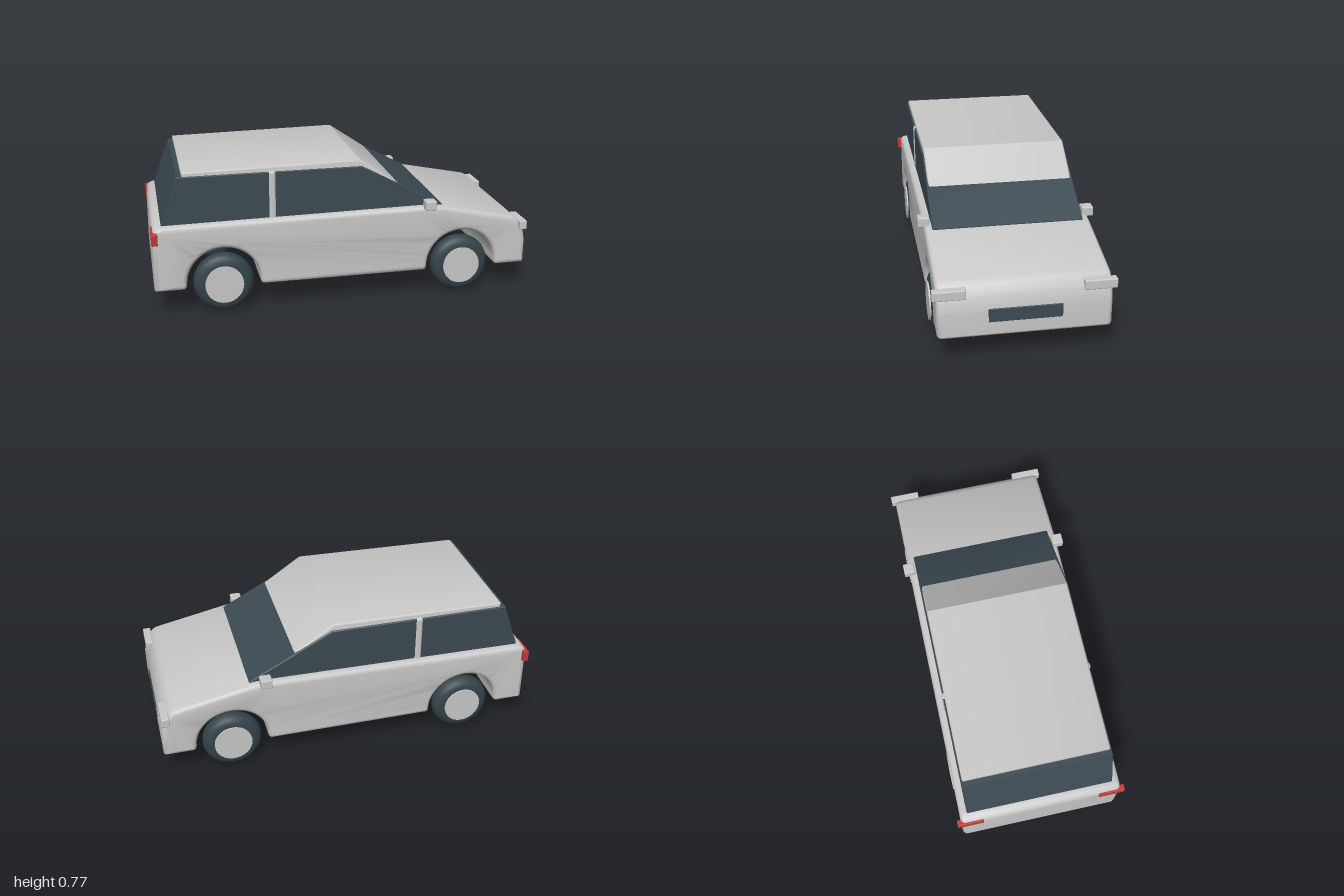
import * as THREE from 'three';
import { toCreasedNormals } from 'three/addons/utils/BufferGeometryUtils.js';
import { RoundedBoxGeometry } from 'three/addons/geometries/RoundedBoxGeometry.js';

const paint = (name, color) => {
  const m = new THREE.MeshStandardMaterial({ color });
  m.name = name;
  return m;
};

// Bevelled slab running across the car; the outline is its widest section
function slab(shape, halfWidth, bevel, segments) {
  const geo = new THREE.ExtrudeGeometry(shape, {
    depth: 2 * (halfWidth - bevel), steps: 1, curveSegments: 24,
    bevelEnabled: true, bevelThickness: bevel, bevelSize: bevel,
    bevelOffset: -bevel, bevelSegments: segments,
  });
  geo.translate(0, 0, -(halfWidth - bevel));
  return toCreasedNormals(geo, 0.6);
}

const polygon = (points) => new THREE.Shape(points.map(([x, y]) => new THREE.Vector2(x, y)));

export function createModel() {
  const car = new THREE.Group();
  car.name = 'car';
  const silver = paint('silver', 0xc8c8c8);
  const glass = paint('dark glass', 0x3d4a52);
  const rubber = paint('tyre rubber', 0x34434a);
  const red = paint('tail light red', 0xc03a38);

  const add = (name, geo, mat, x = 0, y = 0, z = 0, parent = car) => {
    const mesh = new THREE.Mesh(geo, mat);
    mesh.name = name;
    mesh.position.set(x, y, z);
    parent.add(mesh);
    return mesh;
  };

  // Lower body with wheel arches cut right across
  const wheelX = [-0.643, 0.636];
  const body = new THREE.Shape();
  body.moveTo(-0.985, 0.14);
  for (const x of wheelX) {
    body.lineTo(x - 0.21, 0.14);
    body.quadraticCurveTo(x - 0.193, 0.14, x - 0.19, 0.165);
    body.absarc(x, 0.165, 0.19, Math.PI, 0, true);
    body.quadraticCurveTo(x + 0.193, 0.14, x + 0.21, 0.14);
  }
  body.lineTo(0.985, 0.14);
  body.quadraticCurveTo(1, 0.14, 1, 0.155);
  body.lineTo(1, 0.27);
  body.quadraticCurveTo(0.985, 0.39, 0.92, 0.415);
  body.lineTo(0.53, 0.495);
  body.quadraticCurveTo(0.48, 0.505, 0.42, 0.503);
  body.lineTo(-0.94, 0.487);
  body.quadraticCurveTo(-0.995, 0.485, -0.998, 0.44);
  body.lineTo(-1, 0.155);
  body.quadraticCurveTo(-1, 0.14, -0.985, 0.14);
  add('body', slab(body, 0.427, 0.026, 5), silver);

  // Glasshouse, with the roof shell standing just proud of its top
  add('windows', slab(polygon([[-0.955, 0.47], [0.53, 0.47], [0.53, 0.5], [0.09, 0.735], [-0.86, 0.735]]),
    0.388, 0.004, 1), glass);
  add('roof', slab(polygon([[-0.83, 0.6], [0.31, 0.6], [0.31, 0.614], [0.08, 0.77], [-0.835, 0.755]]),
    0.38, 0.008, 3), silver);

  const box = (w, h, d, r = 0.006) => new RoundedBoxGeometry(w, h, d, 3, r);
  add('numberPlate', box(0.008, 0.07, 0.36, 0.003), glass, 0.999, 0.25, 0);

  // Fittings repeated on both sides
  for (const s of [1, -1]) {
    add('doorPillar', box(0.04, 0.27, 0.03, 0.014), silver, -0.38, 0.605, s * 0.378);
    add('mirror', box(0.06, 0.05, 0.06), silver, 0.45, 0.515, s * 0.426);
    add('headlight', box(0.042, 0.05, 0.162), silver, 0.975, 0.366, s * 0.366);
    add('tailLight', box(0.032, 0.06, 0.138, 0.004), red, -0.986, 0.432, s * 0.378);
  }

  // Wheels: rounded tyre with a thin hub disc on the outer side
  const tyreProfile = [
    [0, -0.05], [0.1, -0.05], [0.122, -0.048], [0.142, -0.038], [0.154, -0.02], [0.158, 0],
    [0.154, 0.02], [0.142, 0.038], [0.122, 0.048], [0.1, 0.05], [0, 0.05],
  ].map(([r, y]) => new THREE.Vector2(r, y));
  const tyreGeo = toCreasedNormals(new THREE.LatheGeometry(tyreProfile, 40), 0.6);
  tyreGeo.rotateX(Math.PI / 2);
  const hubGeo = new THREE.CylinderGeometry(0.1, 0.1, 0.02, 40);
  hubGeo.rotateX(Math.PI / 2);
  for (const x of wheelX) {
    for (const s of [1, -1]) {
      const wheel = new THREE.Group();
      wheel.name = 'wheel';
      wheel.position.set(x, 0.158, s * 0.375);
      add('tyre', tyreGeo, rubber, 0, 0, 0, wheel);
      add('hub', hubGeo, silver, 0, 0, s * 0.048, wheel);
      car.add(wheel);
    }
  }
  return car;
}
